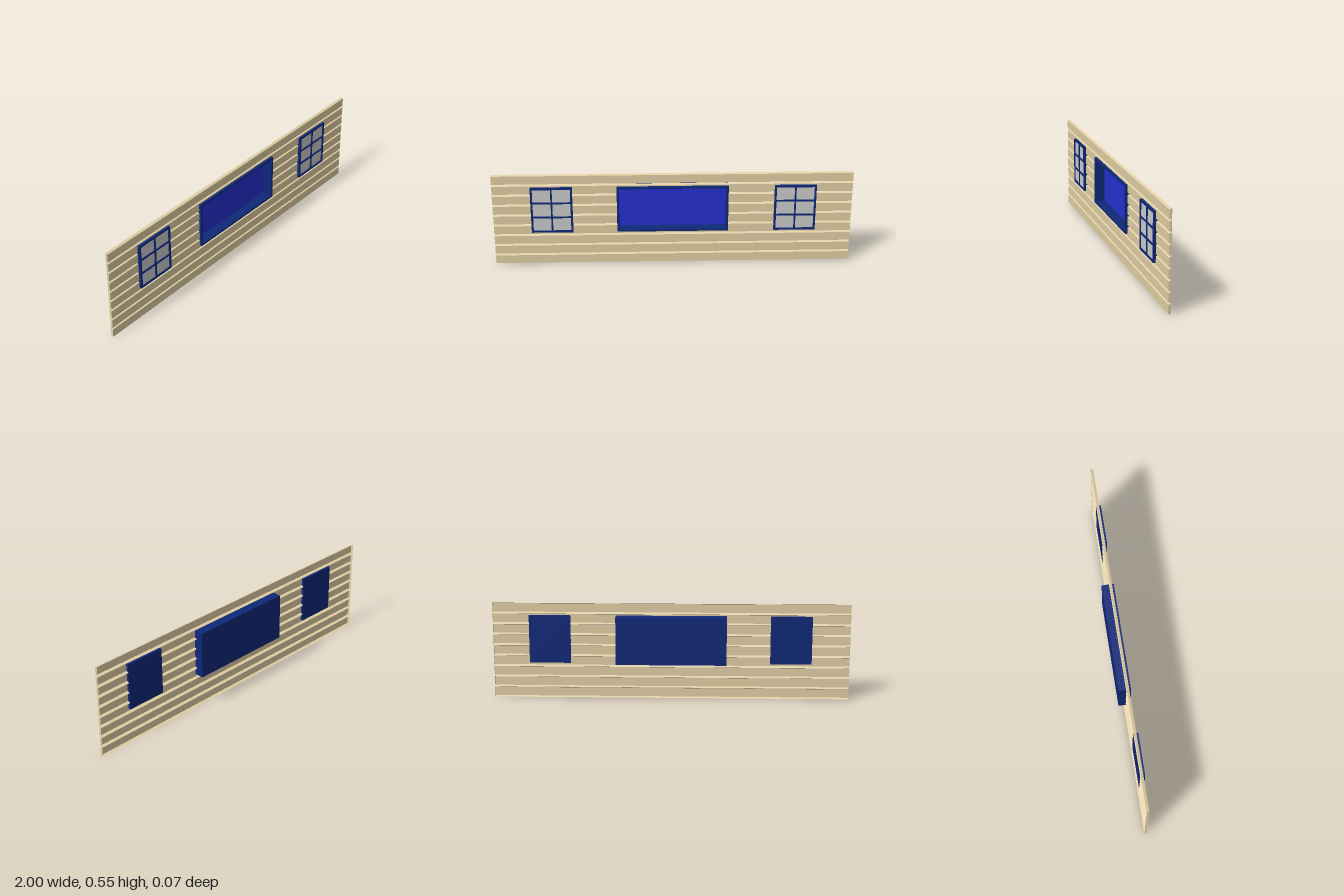
import * as THREE from 'three';

const paint = (color) => new THREE.MeshStandardMaterial({ color, side: THREE.DoubleSide });

const BACK = 0.006, FRONT = 0.02;          // siding depth
const PITCH = 0.061, BEVEL = 0.005;        // board spacing and edge slope
const LOW = 0.204, HIGH = 0.476;           // window heights
const BAY = 0.31;                          // half width of the display window

// Bevelled board, open at the back: profile is [z, y] pairs from bottom to top.
function boardGeometry(x0, x1, profile) {
  const pos = [];
  const tri = (...corners) => corners.forEach((c) => pos.push(...c));
  const at = (x, [z, y]) => [x, y, z];
  for (let i = 0; i < profile.length - 1; i++) {
    const [p, q] = [profile[i], profile[i + 1]];
    tri(at(x0, p), at(x1, p), at(x1, q));
    tri(at(x0, p), at(x1, q), at(x0, q));
  }
  // End caps only on the outer ends of the wall
  for (let i = 1; i < profile.length - 1; i++) {
    const [a, b, c] = [profile[0], profile[i], profile[i + 1]];
    if (x0 === -1) tri(at(x0, a), at(x0, b), at(x0, c));
    if (x1 === 1) tri(at(x1, a), at(x1, c), at(x1, b));
  }
  const g = new THREE.BufferGeometry();
  g.setAttribute('position', new THREE.Float32BufferAttribute(pos, 3));
  g.computeVertexNormals();
  return g;
}

// Rectangular frame with a grid of openings, extruded along z.
function frameGeometry(w, h, border, bar, cols, rows, depth) {
  const rect = (path, x, y, rw, rh) => {
    path.moveTo(x, y).lineTo(x + rw, y).lineTo(x + rw, y + rh).lineTo(x, y + rh).closePath();
    return path;
  };
  const shape = rect(new THREE.Shape(), -w / 2, -h / 2, w, h);
  const pw = (w - 2 * border - (cols - 1) * bar) / cols;
  const ph = (h - 2 * border - (rows - 1) * bar) / rows;
  for (let c = 0; c < cols; c++) {
    for (let r = 0; r < rows; r++) {
      const x = -w / 2 + border + c * (pw + bar), y = -h / 2 + border + r * (ph + bar);
      shape.holes.push(rect(new THREE.Path(), x, y, pw, ph));
    }
  }
  return new THREE.ExtrudeGeometry(shape, { depth, bevelEnabled: false });
}

export function createModel() {
  const model = new THREE.Group();
  const tan = paint(0xe2d0a6), navy = paint(0x0f2878), blue = paint(0x2630d0), grey = paint(0xcccccc);

  const add = (parent, name, geometry, material, x = 0, y = 0, z = 0) => {
    const mesh = new THREE.Mesh(geometry, material);
    mesh.name = name;
    mesh.position.set(x, y, z);
    parent.add(mesh);
  };
  const slab = (w, h, z0, z1) => new THREE.BoxGeometry(w, h, z1 - z0).translate(0, 0, (z0 + z1) / 2);

  // Siding: nine boards, interrupted by the display window
  const siding = new THREE.Group();
  siding.name = 'siding';
  model.add(siding);
  for (let i = 0; i < 9; i++) {
    const y0 = i * PITCH + 0.002, y1 = y0 + 0.0585;
    const bottom = [[BACK, y0], [FRONT, y0 + BEVEL]];
    const top = [[FRONT, y1 - BEVEL], [BACK, y1]];
    const full = [...bottom, ...top];
    if (y1 < LOW || y0 > HIGH) {
      add(siding, 'board', boardGeometry(-1, 1, full), tan);
      continue;
    }
    add(siding, 'boardRight', boardGeometry(-1, -BAY, full), tan);
    add(siding, 'boardLeft', boardGeometry(BAY, 1, full), tan);
    // Strips left below and above the opening
    if (y0 < LOW) add(siding, 'sillStrip', boardGeometry(-BAY, BAY, [...bottom, [FRONT, LOW]]), tan);
    if (y1 > HIGH) add(siding, 'headStrip', boardGeometry(-BAY, BAY, [[FRONT, HIGH], ...top]), tan);
  }

  const h = HIGH - LOW, midY = (HIGH + LOW) / 2;

  // Display window: deep tray with a bright back panel
  const display = new THREE.Group();
  display.name = 'displayWindow';
  display.position.y = midY;
  model.add(display);
  add(display, 'displayFrame', frameGeometry(2 * BAY, h, 0.011, 0, 1, 1, 0.068), navy, 0, 0, -0.034);
  add(display, 'displayBack', slab(2 * BAY - 0.02, h - 0.02, -0.034, -0.028), navy);
  add(display, 'displayPanel', slab(2 * BAY - 0.022, h - 0.022, -0.028, -0.024), blue);

  // Paned windows on either side
  for (const [name, x] of [['rightWindow', -0.672], ['leftWindow', 0.682]]) {
    const win = new THREE.Group();
    win.name = name;
    win.position.set(x, midY, 0);
    model.add(win);
    add(win, 'windowBack', slab(0.232, h, 0.0055, 0.024), navy);
    add(win, 'windowPanes', slab(0.212, h - 0.02, 0.024, 0.028), grey);
    add(win, 'windowFrame', frameGeometry(0.232, h, 0.011, 0.009, 2, 3, 0.01), navy, 0, 0, 0.024);
  }
  return model;
}
